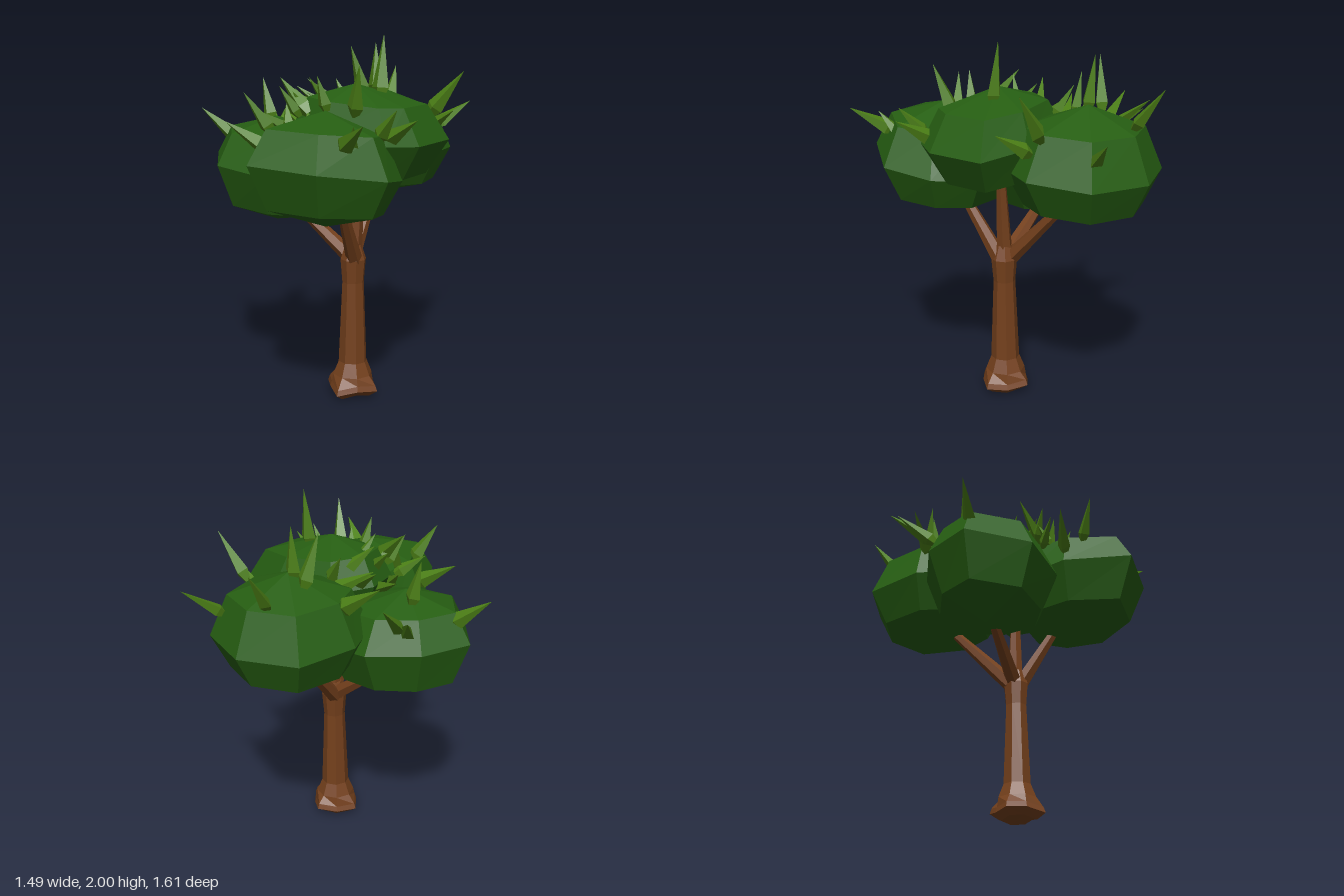
import * as THREE from 'three';

const mat = (color) => new THREE.MeshStandardMaterial({ color, flatShading: true, side: THREE.DoubleSide });
const V = (a) => new THREE.Vector3(...a);
const UP = new THREE.Vector3(0, 1, 0);

// Turn a y-aligned geometry so that it runs from a to b
function between(geo, a, b) {
  const d = b.clone().sub(a);
  geo.applyQuaternion(new THREE.Quaternion().setFromUnitVectors(UP, d.clone().normalize()));
  const m = a.clone().add(b).multiplyScalar(0.5);
  return geo.translate(m.x, m.y, m.z);
}

// Faceted foliage: an eight-cornered, tilted girdle drawn in by rings to a top and a bottom point
function clump({ outline, centre: [cx, cz], bottom, middle, top, tilt: [tx, tz] }) {
  // Each ring: share of the girdle's width, and of the rise (+) or drop (-) from it
  const rings = [[0.001, -1], [0.76, -0.7], [1, 0], [0.76, 0.66], [0.001, 1]];
  const n = outline.length;
  const pos = [], index = [];
  rings.forEach(([r, h], j) => {
    outline.forEach(([x, z], i) => {
      const dx = (x - cx) * r, dz = (z - cz) * r;
      const lean = (dx * tx + dz * tz) * (1 - Math.abs(h) * 0.5);
      pos.push(cx + dx, middle + h * (h > 0 ? top - middle : middle - bottom) + lean, cz + dz);
      if (j === 0) return;
      const k = (i + 1) % n, a = (j - 1) * n, b = j * n;
      index.push(a + i, a + k, b + k, a + i, b + k, b + i);
    });
  });
  const geo = new THREE.BufferGeometry();
  geo.setAttribute('position', new THREE.Float32BufferAttribute(pos, 3));
  geo.setIndex(index);
  geo.computeVertexNormals();
  return geo;
}

// Four-sided pointed leaf, widest just above its root
function leafSpike(a, b) {
  const len = a.distanceTo(b);
  const w = Math.min(0.05, 0.022 + len * 0.09);
  const profile = [[0.02, -0.5], [w, -0.3], [0.001, 0.5]].map(([r, y]) => new THREE.Vector2(r, y * len));
  const geo = new THREE.LatheGeometry(profile, 4);
  geo.scale(1, 1, 0.75);
  return between(geo, a, b);
}

export function createModel() {
  const tree = new THREE.Group();
  tree.name = 'tree';
  const bark = mat(0x74401c);
  const foliage = mat(0x265e12);
  const leaf = mat(0x4c8016);
  const add = (name, geo, material, parent = tree) => {
    const mesh = new THREE.Mesh(geo, material);
    mesh.name = name;
    parent.add(mesh);
  };

  // Trunk with knobbly roots at its foot
  const profile = [[0, 0.01], [0.1, 0.01], [0.145, 0.045], [0.135, 0.075], [0.11, 0.125], [0.08, 0.2], [0.061, 0.66], [0.072, 0.79], [0.045, 0.87], [0, 0.88]]
    .map(([r, y]) => new THREE.Vector2(r, y));
  const trunk = new THREE.LatheGeometry(profile, 8);
  const p = trunk.attributes.position;
  for (let i = 0; i < p.count; i++) {
    const y = p.getY(i);
    if (y > 0.1) continue;
    const angle = Math.atan2(p.getZ(i), p.getX(i));
    const k = 1 + 0.13 * Math.cos(angle * 4 + 0.4);
    p.setXYZ(i, p.getX(i) * k, Math.max(0, y + 0.012 * Math.sin(angle * 3)), p.getZ(i) * k);
  }
  trunk.translate(0.222, 0, 0.053);
  add('trunk', trunk, bark);

  // Branches spreading from the fork into each clump
  const branches = new THREE.Group();
  branches.name = 'branches';
  tree.add(branches);
  const limbs = [
    [[0.2, 0.8, 0.05], [-0.17, 1.07, 0.06]],
    [[0.24, 0.79, 0.07], [0.29, 1.14, 0.29]],
    [[0.2, 0.79, 0.03], [0.15, 1.15, -0.31]],
    [[0.22, 0.8, 0.05], [0.26, 1.3, 0.04]],
  ];
  for (const [a, b] of limbs) {
    const from = V(a), to = V(b);
    add('branch', between(new THREE.CylinderGeometry(0.025, 0.046, from.distanceTo(to), 6), from, to), bark, branches);
  }

  // Four foliage clumps, outlines running from the front round the right-hand side
  add('frontFoliage', clump({
    outline: [[0.08, 0.81], [0.46, 0.78], [0.68, 0.49], [0.61, 0.22], [0.42, 0.05], [0.1, 0.05], [-0.08, 0.22], [-0.1, 0.47]],
    centre: [0.28, 0.42], bottom: 1.05, middle: 1.33, top: 1.64, tilt: [-0.03, 0.16],
  }), foliage);
  add('rightFoliage', clump({
    outline: [[-0.43, 0.41], [-0.1, 0.43], [0.12, 0.3], [0.16, 0.03], [0.02, -0.25], [-0.28, -0.28], [-0.54, -0.14], [-0.66, 0.12]],
    centre: [-0.27, 0.08], bottom: 0.96, middle: 1.28, top: 1.55, tilt: [-0.1, 0],
  }), foliage);
  add('backFoliage', clump({
    outline: [[0.1, -0.02], [0.4, -0.09], [0.52, -0.34], [0.44, -0.68], [0.12, -0.8], [-0.2, -0.68], [-0.28, -0.35], [-0.18, -0.1]],
    centre: [0.11, -0.42], bottom: 1.08, middle: 1.35, top: 1.69, tilt: [0, 0.05],
  }), foliage);
  add('topFoliage', clump({
    outline: [[0.2, 0.34], [0.57, 0.32], [0.67, 0.16], [0.67, -0.18], [0.38, -0.26], [0.02, -0.2], [-0.1, 0.02], [-0.04, 0.25]],
    centre: [0.24, 0.07], bottom: 1.21, middle: 1.5, top: 1.75, tilt: [-0.1, 0],
  }), foliage);

  // Single leaves standing out of the foliage: root, tip
  const spikes = new THREE.Group();
  spikes.name = 'leaves';
  tree.add(spikes);
  const leaves = [
    [-0.53, 1.4, 0.1, -0.75, 1.57, 0.15], [-0.36, 1.5, 0.0, -0.42, 1.75, 0.0],
    [-0.42, 1.42, -0.16, -0.5, 1.62, -0.41], [-0.44, 1.4, -0.14, -0.58, 1.55, -0.32],
    [0.35, 1.66, 0.01, 0.35, 2.0, -0.03], [0.09, 1.64, -0.4, 0.07, 1.94, -0.43],
    [0.0, 1.62, -0.43, -0.06, 1.92, -0.37], [-0.15, 1.52, -0.34, -0.4, 1.68, -0.31],
    [0.35, 1.46, -0.63, 0.5, 1.6, -0.8], [0.04, 1.57, -0.64, 0.0, 1.79, -0.8],
    [0.44, 1.55, -0.38, 0.64, 1.8, -0.4], [0.45, 1.48, -0.32, 0.65, 1.6, -0.26],
    [-0.04, 1.42, 0.46, -0.28, 1.56, 0.52], [0.04, 1.52, 0.54, -0.07, 1.73, 0.63],
    [0.48, 1.48, 0.6, 0.68, 1.62, 0.73], [0.5, 1.46, 0.53, 0.57, 1.6, 0.63],
    [0.52, 1.48, 0.26, 0.74, 1.61, 0.32], [0.52, 1.5, 0.32, 0.66, 1.66, 0.38],
    [0.36, 1.6, 0.28, 0.43, 1.86, 0.35], [0.02, 1.58, 0.27, -0.06, 1.74, 0.34],
    [0.2, 1.62, 0.29, 0.17, 1.8, 0.33],
  ];
  for (const l of leaves) add('leaf', leafSpike(V(l.slice(0, 3)), V(l.slice(3))), leaf, spikes);

  // Dense fan of leaves where the clumps meet
  for (let i = 0; i < 14; i++) {
    const t = i / 13;
    const s = Math.sin(i * 2.4);
    const root = V([0.02 + 0.06 * s, 1.54 + 0.06 * s, -0.2 + 0.56 * t]);
    const tip = root.clone().add(V([-0.13 - 0.08 * Math.cos(i * 1.7), 0.13 + 0.05 * s, 0.1 * Math.cos(i * 2.1)]));
    add('leaf', leafSpike(root, tip), leaf, spikes);
  }
  return tree;
}
